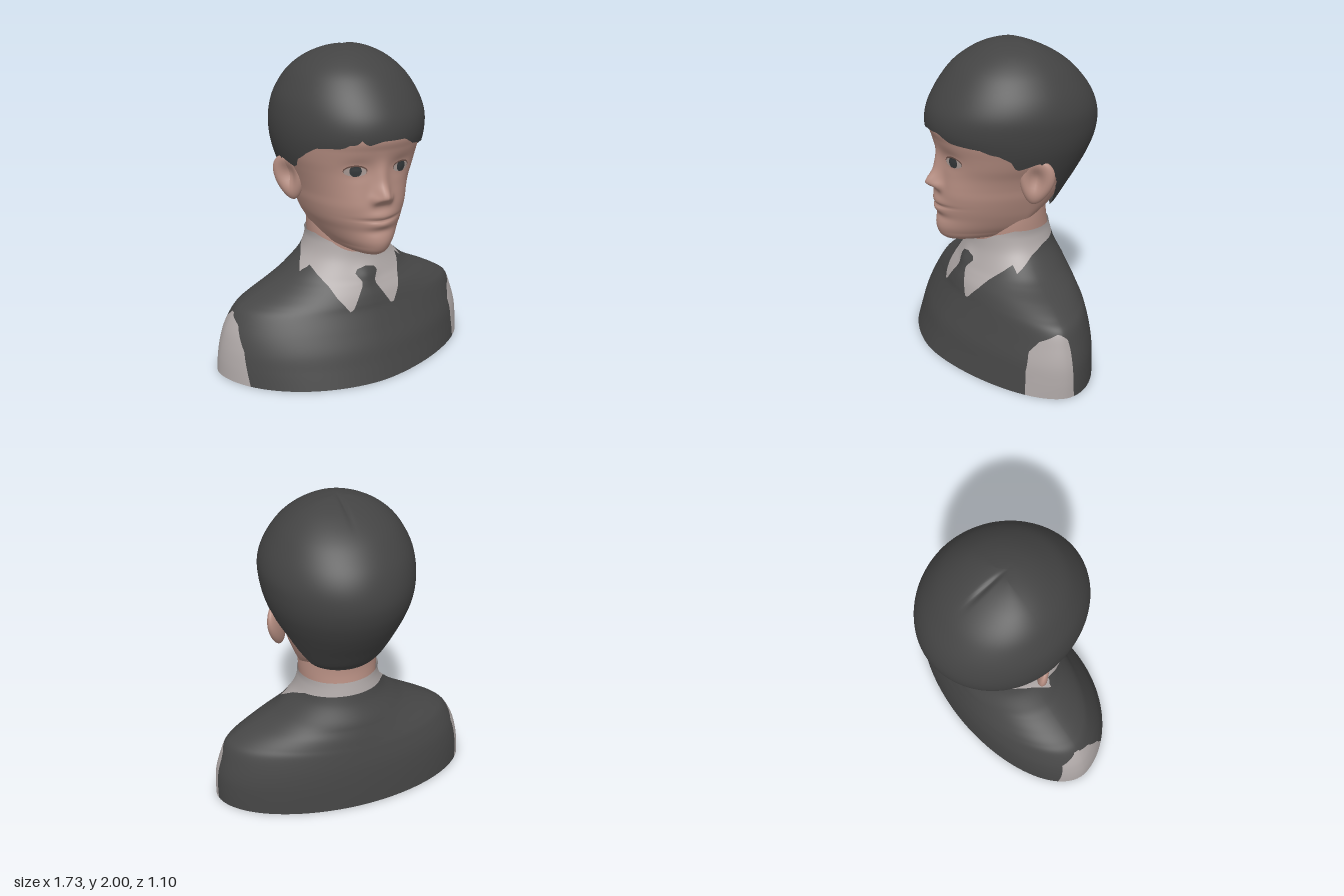
import * as THREE from 'three';

const flat = (name, color, side = THREE.FrontSide) => {
  const m = new THREE.MeshStandardMaterial({ color, side });
  m.name = name;
  return m;
};

// piecewise linear lookup through [input, output] points
function poly(points, v) {
  if (v <= points[0][0]) return points[0][1];
  for (let i = 1; i < points.length; i++) {
    const [a, fa] = points[i - 1], [b, fb] = points[i];
    if (v <= b) return fa + (fb - fa) * (v - a) / (b - a);
  }
  return points[points.length - 1][1];
}

const bump = (x, y, x0, y0, sx, sy) => Math.exp(-(((x - x0) / sx) ** 2) - ((y - y0) / sy) ** 2);

// smooth interpolation between cross-section rows
function sampleRows(rows, sub) {
  const out = [];
  const at = i => rows[Math.max(0, Math.min(rows.length - 1, i))];
  for (let i = 0; i < rows.length - 1; i++) {
    for (let k = 0; k < sub; k++) {
      const t = k / sub;
      out.push(at(i).map((b, c) => {
        const a = at(i - 1)[c], d = at(i + 1)[c], e = at(i + 2)[c];
        return b + 0.5 * t * (d - a + t * (2 * a - 5 * b + 4 * d - e + t * (3 * (b - d) + e - a)));
      }));
    }
  }
  out.push(rows[rows.length - 1]);
  return out;
}

// loft rows [y, right x, left x, front z, back z, roundness, back roundness] into a list of triangles
function loft(rows, seg, sub, zc = 0, warp = () => {}) {
  const rings = sampleRows(rows, sub), pos = [], index = [];
  const v = new THREE.Vector3();
  for (const [y, x0, x1, zf, zb, nf, nb = nf] of rings) {
    const mid = Math.max(zb, Math.min(zf, zc));
    for (let j = 0; j < seg; j++) {
      const t = j / seg * Math.PI * 2, c = Math.cos(t), s = Math.sin(t), n = s > 0 ? nf : nb;
      const px = Math.sign(c) * Math.abs(c) ** (2 / n), pz = Math.abs(s) ** (2 / n);
      v.set((x0 + x1) / 2 + px * (x1 - x0) / 2, y, mid + pz * (s > 0 ? zf - mid : zb - mid));
      warp(v);
      pos.push(v.x, v.y, v.z);
    }
  }
  for (let i = 0; i < rings.length - 1; i++) {
    for (let j = 0; j < seg; j++) {
      const a = i * seg + j, b = a + seg, c = i * seg + (j + 1) % seg, d = c + seg;
      index.push(a, b, c, b, d, c);
    }
  }
  const g = new THREE.BufferGeometry();
  g.setAttribute('position', new THREE.Float32BufferAttribute(pos, 3));
  g.setIndex(index);
  g.computeVertexNormals();
  const verts = [];
  for (let i = 0; i < pos.length / 3; i++) {
    verts.push({
      p: new THREE.Vector3().fromBufferAttribute(g.attributes.position, i),
      n: new THREE.Vector3().fromBufferAttribute(g.attributes.normal, i),
    });
  }
  const tris = [];
  for (let i = 0; i < index.length; i += 3) tris.push([verts[index[i]], verts[index[i + 1]], verts[index[i + 2]]]);
  return tris;
}

// cut triangles along f = 0, giving [where f >= 0, the rest]
function split(tris, f) {
  const sides = [[], []];
  for (const tri of tris) {
    const d = tri.map(v => f(v.p)), polys = [[], []];
    tri.forEach((v, i) => {
      const k = (i + 1) % 3, w = tri[k];
      polys[d[i] >= 0 ? 0 : 1].push(v);
      if ((d[i] >= 0) !== (d[k] >= 0)) {
        const t = d[i] / (d[i] - d[k]);
        const cut = { p: v.p.clone().lerp(w.p, t), n: v.n.clone().lerp(w.n, t).normalize() };
        polys[0].push(cut);
        polys[1].push(cut);
      }
    });
    polys.forEach((q, s) => {
      for (let i = 2; i < q.length; i++) sides[s].push([q[0], q[i - 1], q[i]]);
    });
  }
  return sides;
}

function mesh(name, tris, material) {
  const g = new THREE.BufferGeometry(), vs = tris.flat();
  g.setAttribute('position', new THREE.Float32BufferAttribute(vs.flatMap(v => v.p.toArray()), 3));
  g.setAttribute('normal', new THREE.Float32BufferAttribute(vs.flatMap(v => v.n.toArray()), 3));
  const m = new THREE.Mesh(g, material);
  m.name = name;
  return m;
}

const MID = 0.013; // the head and tie sit slightly to the model's left

// facial relief, pushed along z on the front of the head
function faceRelief(v) {
  if (v.z < 0.1) return;
  const x = Math.abs(v.x - MID), y = v.y;
  let d = 0.075 * bump(x, y, 0, 1.16, 0.045, y < 1.16 ? 0.036 : 0.06);  // nose tip
  d += 0.03 * bump(x, y, 0, 1.26, 0.045, 0.09);                         // nose bridge
  d += 0.022 * bump(x, y, 0.05, 1.14, 0.026, 0.03);                     // nostrils
  d -= 0.018 * bump(x, y, 0.14, 1.325, 0.075, 0.05);                    // eye sockets
  d += 0.013 * bump(x, y, 0.15, 1.315, 0.05, 0.03);                     // eyeballs
  d += 0.012 * bump(x, y, 0.17, 1.12, 0.1, 0.1);                        // cheeks
  d += 0.016 * bump(x, y, 0, 1.04, 0.09, 0.03);                         // upper lip
  d += 0.014 * bump(x, y, 0, 0.985, 0.08, 0.026);                       // lower lip
  d -= 0.013 * bump(x, y, 0, 1.01 + x * 0.07, 0.13, 0.009);             // mouth line
  d -= 0.008 * bump(x, y, 0, 0.94, 0.1, 0.025);                         // chin crease
  v.z += d * Math.min(1, (v.z - 0.1) / 0.15);
}

export function createModel() {
  const group = new THREE.Group();
  group.name = 'bust';
  const skin = flat('skin', 0xb68e82), shirt = flat('shirt', 0xaea7a6, THREE.DoubleSide);
  const knit = flat('sweater', 0x464646), hair = flat('hair', 0x434343, THREE.DoubleSide);
  const white = flat('eyeWhite', 0xa99a95), iris = flat('iris', 0x34383a), lash = flat('lashes', 0x6b5048);

  // torso, cut into sweater, sleeves and collar
  const torsoRows = [
    [0, -0.868, 0.86, 0.545, -0.435, 1.75, 1.95], [0.1, -0.86, 0.858, 0.512, -0.433, 1.75, 1.95],
    [0.2, -0.842, 0.848, 0.48, -0.428, 1.75, 1.95], [0.3, -0.81, 0.82, 0.435, -0.418, 1.73, 1.92],
    [0.4, -0.75, 0.78, 0.39, -0.4, 1.7, 1.85], [0.45, -0.68, 0.715, 0.375, -0.388, 1.68, 1.82],
    [0.5, -0.58, 0.62, 0.357, -0.375, 1.68, 1.82], [0.55, -0.48, 0.505, 0.33, -0.358, 1.72, 1.87],
    [0.6, -0.4, 0.42, 0.3, -0.34, 1.8, 1.92], [0.7, -0.29, 0.315, 0.255, -0.29, 1.95, 2],
    [0.8, -0.248, 0.276, 0.235, -0.26, 2, 2], [0.88, -0.255, 0.28, 0.22, -0.242, 2, 2],
  ];
  const chest = v => {
    if (v.z > 0) v.z = v.z * (1 - 0.2 * v.x) + 0.018 * bump(v.x, v.y, MID, 0.61, 0.07, 0.05);
  };
  const collarTop = [[-0.3, 0.845], [0.07, 0.85], [0.17, 0.81], [0.22, 0.765], [0.26, 0.73]];
  const neckline = [[-0.3, 0.765], [-0.12, 0.74], [-0.02, 0.695], [0.11, 0.605], [0.24, 0.51], [0.34, 0.43], [0.37, 0.4]];
  const collarWidth = [[0.405, 0.15], [0.5, 0.222], [0.56, 0.25], [0.62, 0.29], [0.7, 0.32], [0.75, 0.45]];
  const tieWidth = [[0.4, 0.15], [0.55, 0.05], [0.575, 0.045], [0.625, 0.08], [0.655, 0.05], [0.67, -0.1]];
  const armholes = {
    left: { front: [[0, 0.21], [0.15, 0.2], [0.27, 0.175], [0.34, 0.12], [0.39, 0.03]],
      back: [[0, -0.05], [0.3, -0.04], [0.36, -0.03], [0.39, 0.01]] },
    right: { front: [[0, 0.25], [0.2, 0.18], [0.34, 0.08], [0.38, 0]],
      back: [[0, -0.18], [0.3, -0.14], [0.38, -0.04]] },
  };
  const torso = loft(torsoRows, 160, 8, -0.01, chest);
  const [body] = split(torso, p => poly(collarTop, p.z) - p.y);
  const [collar, vest] = split(body, p => {
    const x = Math.abs(p.x - MID);
    return p.z > 0.1 ? Math.min(p.y - poly(neckline, p.z), x - poly(tieWidth, p.y), poly(collarWidth, p.y) - x)
      : p.y - poly(neckline, p.z);
  });
  const [sleeves, sweater] = split(vest, p => {
    const hole = p.x > 0 ? armholes.left : armholes.right;
    return Math.min(Math.abs(p.x) - 0.5, poly(hole.front, p.y) - p.z, p.z - poly(hole.back, p.y), 0.39 - p.y);
  });
  group.add(mesh('collar', collar, shirt), mesh('sleeves', sleeves, shirt), mesh('sweaterAndTie', sweater, knit));
  const baseCentre = [0, 0, 0, -0.01, -0.01, 1.75, 1.95];
  group.add(mesh('base', loft([baseCentre, torsoRows[0]], 160, 1, -0.01, chest), knit));

  // neck
  group.add(mesh('neck', loft([
    [0.68, -0.235, 0.265, 0.222, -0.255, 2], [0.8, -0.236, 0.264, 0.22, -0.247, 2],
    [0.9, -0.24, 0.268, 0.2, -0.232, 2], [1, -0.24, 0.265, 0.15, -0.235, 2], [1.15, -0.23, 0.255, 0.1, -0.26, 2],
  ], 64, 4), skin));

  // face and skull, with eyes cut out of the surface
  const head = loft([
    [0.772, 0.013, 0.013, 0.32, 0.32, 2], [0.778, -0.07, 0.096, 0.405, 0.2, 2],
    [0.792, -0.125, 0.15, 0.44, 0.12, 2], [0.82, -0.17, 0.195, 0.465, 0.04, 2],
    [0.87, -0.212, 0.237, 0.48, -0.06, 2], [0.94, -0.252, 0.275, 0.474, -0.16, 2.05],
    [1, -0.282, 0.3, 0.476, -0.25, 2.1], [1.08, -0.308, 0.328, 0.474, -0.32, 2.1],
    [1.15, -0.322, 0.345, 0.466, -0.365, 2.1], [1.22, -0.342, 0.368, 0.46, -0.41, 2.1],
    [1.29, -0.365, 0.4, 0.458, -0.45, 2.1], [1.36, -0.388, 0.425, 0.466, -0.48, 2.08],
    [1.43, -0.402, 0.445, 0.484, -0.5, 2.05], [1.5, -0.41, 0.45, 0.503, -0.51, 2], [1.6, -0.4, 0.44, 0.48, -0.49, 2],
  ], 192, 8, 0, faceRelief);
  const eyeAt = (p, w, h, up) => {
    const x = Math.abs(p.x - MID) - 0.15, y = p.y - 1.312 - up;
    return p.z < 0.2 ? -1 : 1 - (x / w) ** 2 - (y / h) ** 2;
  };
  const [eyes, face] = split(head, p => eyeAt(p, 0.066, 0.034, 0.005));
  const [balls, lashes] = split(eyes, p => eyeAt(p, 0.062, 0.03, 0));
  const [irises, whites] = split(balls, p => eyeAt(p, 0.034, 0.035, 0.004));
  group.add(mesh('face', face, skin), mesh('lashes', lashes, lash));
  group.add(mesh('eyeWhites', whites, white), mesh('irises', irises, iris));

  // hair shell, trimmed along the side hairline and the uneven fringe
  const hairline = [[-0.26, 0.94], [-0.19, 0.965], [-0.175, 1.05], [-0.16, 1.19], [-0.095, 1.27], [0, 1.34],
    [0.075, 1.315], [0.13, 1.3], [0.165, 1.36], [0.245, 1.405], [0.42, 1.44]];
  const fringe = [[-0.38, 1.42], [-0.34, 1.45], [-0.22, 1.46], [-0.2, 1.48], [-0.16, 1.48], [-0.13, 1.51],
    [-0.1, 1.475], [-0.01, 1.5], [0.14, 1.5], [0.22, 1.455], [0.36, 1.435], [0.4, 1.4]];
  const hairTris = loft([
    [0.92, -0.24, 0.265, 0.2, -0.236, 2], [0.96, -0.25, 0.275, 0.25, -0.262, 2],
    [1, -0.275, 0.3, 0.3, -0.3, 2], [1.1, -0.325, 0.35, 0.38, -0.366, 2],
    [1.2, -0.365, 0.395, 0.43, -0.432, 2], [1.3, -0.402, 0.438, 0.47, -0.49, 2],
    [1.4, -0.43, 0.472, 0.497, -0.533, 2], [1.5, -0.443, 0.491, 0.525, -0.553, 1.98],
    [1.6, -0.44, 0.494, 0.516, -0.54, 1.97], [1.7, -0.418, 0.465, 0.468, -0.495, 1.97],
    [1.8, -0.367, 0.405, 0.396, -0.415, 2], [1.87, -0.312, 0.342, 0.328, -0.335, 2],
    [1.93, -0.235, 0.263, 0.238, -0.235, 2], [1.97, -0.15, 0.177, 0.155, -0.14, 2],
    [1.992, -0.065, 0.09, 0.075, -0.058, 2], [1.998, 0.012, 0.012, 0.012, 0.012, 2],
  ], 128, 6, -0.03, v => {
    if (v.y > 1.8) v.y -= 0.012 * bump(v.x, v.z, 0.015, -0.14, 0.014, 0.1); // crown parting
  });
  const [cap] = split(hairTris, p => {
    const front = THREE.MathUtils.smoothstep(p.z, 0.2, 0.33);
    return p.y - THREE.MathUtils.lerp(poly(hairline, p.z), poly(fringe, p.x), front);
  });
  group.add(mesh('hair', cap, hair));

  // ears: flattened shells with a hollow on the outer side
  for (const side of [-1, 1]) {
    const g = new THREE.SphereGeometry(1, 32, 24), a = g.attributes.position;
    for (let i = 0; i < a.count; i++) {
      let x = a.getX(i);
      const y = a.getY(i), z = a.getZ(i);
      if (x * side > 0) x *= 1 - 1.2 * bump(y, z, 0.15, 0.05, 0.55, 0.5);
      a.setXYZ(i, x * 0.045, y * 0.145, z * 0.102 * (1 + 0.28 * y));
    }
    g.computeVertexNormals();
    const ear = new THREE.Mesh(g, skin);
    ear.name = side > 0 ? 'leftEar' : 'rightEar';
    ear.position.set(0.018 + side * 0.385, 1.21, -0.005);
    ear.rotation.set(-0.2, -side * 0.6, -side * 0.2);
    group.add(ear);
  }
  return group;
}
